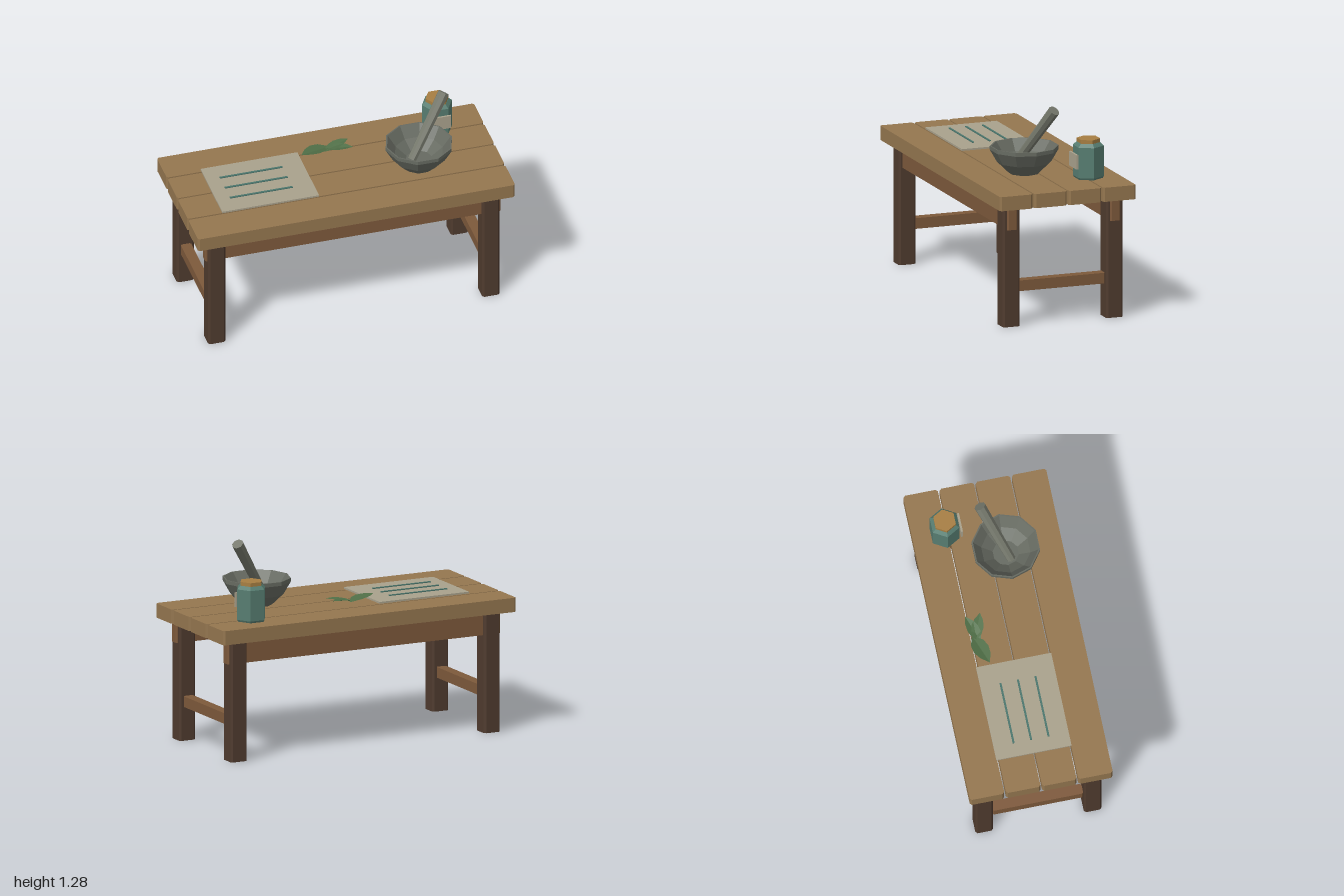
import * as THREE from 'three';

const mat = (color, side = THREE.FrontSide) =>
  new THREE.MeshStandardMaterial({ color, flatShading: true, side });

const plankWood = mat(0x94764f), legWood = mat(0x4f3b2e), railWood = mat(0x7d593b);
const stone = mat(0x666a61), pestleStone = mat(0x74776b), paper = mat(0xa9a18c);
const ink = mat(0x4a756c), glass = mat(0x567c70), cork = mat(0xa67e42);
const leafGreen = mat(0x506f47, THREE.DoubleSide);

export function createModel() {
  const model = new THREE.Group();

  const add = (name, geometry, material, x = 0, y = 0, z = 0) => {
    const mesh = new THREE.Mesh(geometry, material);
    mesh.name = name;
    mesh.position.set(x, y, z);
    model.add(mesh);
    return mesh;
  };

  // Timber with its four upright edges cut off; origin at the bottom centre
  const timber = (w, h, d, c = 0.012) => {
    const a = w / 2, b = d / 2;
    const outline = [[a, b - c], [a - c, b], [c - a, b], [-a, b - c],
      [-a, c - b], [c - a, -b], [a - c, -b], [a, c - b]];
    const shape = new THREE.Shape(outline.map(([x, y]) => new THREE.Vector2(x, y)));
    return new THREE.ExtrudeGeometry(shape, { depth: h, bevelEnabled: false }).rotateX(-Math.PI / 2);
  };

  // Faceted turned form with a corner on each side in x
  const turned = (profile, sides) => new THREE.LatheGeometry(
    profile.map(([r, y]) => new THREE.Vector2(r, y)), sides).rotateY(Math.PI / 2);

  // Table top
  for (const z of [-0.335, -0.1115, 0.1115, 0.335])
    add('plank', timber(2, 0.088, 0.213), plankWood, 0, 0.745, z);

  // Legs, long aprons and side stretchers
  for (const s of [-1, 1]) {
    for (const t of [-1, 1])
      add('leg', timber(0.11, 0.745, 0.11), legWood, s * 0.865, 0, t * 0.335);
    add('apron', timber(1.865, 0.14, 0.065, 0.008), railWood, 0, 0.605, s * 0.335);
    add('stretcher', timber(0.065, 0.066, 0.56, 0.008), railWood, s * 0.865, 0.212, 0);
  }

  // Sheet of paper with three ruled lines
  add('paperSheet', new THREE.BoxGeometry(0.61, 0.011, 0.465), paper, -0.48, 0.8455, -0.002);
  for (const z of [-0.11, -0.002, 0.106])
    add('paperLine', new THREE.BoxGeometry(0.395, 0.006, 0.012), ink, -0.503, 0.854, z);

  // Mortar: outside, rim, then down the inside
  add('mortar', turned([[0, 0.845], [0.094, 0.845], [0.166, 0.915], [0.209, 0.99],
    [0.209, 1.013], [0.2, 1.013], [0.15, 0.945], [0.08, 0.892], [0, 0.892]], 10),
    stone, 0.496, 0, 0.089);

  // Leaning pestle
  const low = new THREE.Vector3(0.446, 0.91, 0.112), high = new THREE.Vector3(0.689, 1.261, -0.031);
  const axis = high.clone().sub(low);
  const pestle = add('pestle', new THREE.CylinderGeometry(0.036, 0.028, axis.length(), 8), pestleStone);
  pestle.position.copy(low).lerp(high, 0.5);
  pestle.quaternion.setFromUnitVectors(new THREE.Vector3(0, 1, 0), axis.normalize());

  // Six-sided jar, lid and front label
  add('jar', turned([[0, 0.833], [0.088, 0.833], [0.095, 0.845], [0.095, 1.034],
    [0.073, 1.055], [0, 1.055]], 6), glass, 0.709, 0, -0.245);
  add('jarLid', turned([[0, 1.055], [0.072, 1.055], [0.072, 1.078], [0, 1.078]], 6), cork, 0.709, 0, -0.245);
  add('jarLabel', new THREE.BoxGeometry(0.122, 0.09, 0.012), paper, 0.708, 0.947, -0.15);

  // Herb leaves: a strip narrowed to a tip, folded along the midrib and curled up
  const leaf = (x0, z0, x1, z1, width) => {
    const length = Math.hypot(x1 - x0, z1 - z0);
    const g = new THREE.PlaneGeometry(length, width, 4, 2).rotateX(-Math.PI / 2);
    const p = g.attributes.position, taper = [0.15, 0.85, 1, 0.7, 0];
    for (let i = 0; i < p.count; i++) {
      const u = p.getX(i) / length + 0.5;
      const z = p.getZ(i) * taper[Math.round(u * 4)];
      p.setXYZ(i, u * length, 0.022 * u + 0.22 * Math.abs(z), z);
    }
    add('leaf', g, leafGreen, x0, 0.867, z0).rotation.y = -Math.atan2(z1 - z0, x1 - x0);
  };
  leaf(0.015, -0.215, -0.175, -0.148, 0.1);
  leaf(-0.01, -0.205, 0.15, -0.142, 0.075);
  leaf(-0.02, -0.175, 0.145, -0.235, 0.075);

  return model;
}
